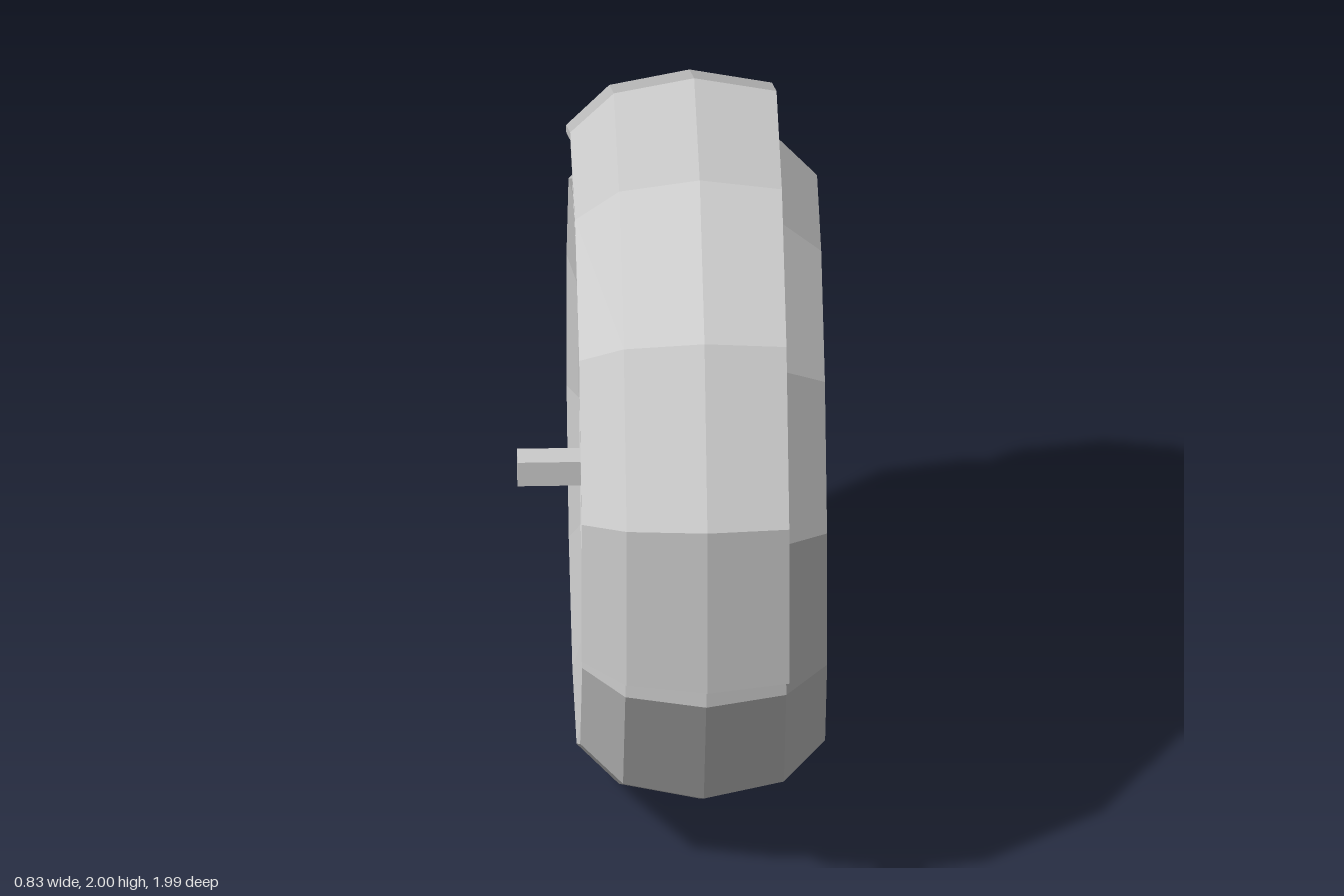
import * as THREE from 'three';

const CENTRE_Y = 0.935, CENTRE_Z = -0.06, MID_X = 0.075;
const grey = new THREE.MeshStandardMaterial({ color: 0xcccccc, flatShading: true });

function part(name, geometry, parent) {
  const mesh = new THREE.Mesh(geometry, grey);
  mesh.name = name;
  parent.add(mesh);
  return mesh;
}

// Twelve-sided tyre with a bevelled lip and an inner wall that narrows to the middle
function tyreGeometry() {
  const side = [[0.96, 0], [0.915, 0.22], [0.80, 0.335], [0.67, 0.305]];
  const pts = [
    ...side.map(([r, x]) => [r, x]),
    [0.61, 0.02], [0.61, -0.02],
    ...side.slice(1).reverse().map(([r, x]) => [r, -x]),
    [0.96, 0],
  ].map(([r, x]) => new THREE.Vector2(r, x));
  const geo = new THREE.LatheGeometry(pts, 12, THREE.MathUtils.degToRad(15));
  return geo.rotateZ(-Math.PI / 2);
}

// Thin mudguard: a bent cross-section carried along an arc over the tyre
function mudguardGeometry() {
  const path = [[1.0, 0.825], [0.99, 1.33], [0.70, 1.76], [0.23, 2.0], [-0.32, 1.995], [-0.79, 1.74]];
  const section = [[-0.265, 0.15], [-0.145, 0.04], [0.075, 0], [0.30, 0.04]]; // x, inset
  const thick = 0.022;
  const ring = [
    ...section.map(([x, d]) => [x, d + thick]),
    ...[...section].reverse(),
  ];
  const n = ring.length, pos = [], index = [];
  for (const [z, y] of path) {
    const dir = new THREE.Vector2(CENTRE_Z - z, 0.95 - y).normalize();
    for (const [x, d] of ring) pos.push(x, y + dir.y * d, z + dir.x * d);
  }
  const quad = (a, b, c, d) => index.push(a, b, c, a, c, d);
  for (let i = 0; i < path.length - 1; i++) {
    for (let j = 0; j < n; j++) {
      const k = (j + 1) % n, s = i * n, e = s + n;
      quad(s + j, e + j, e + k, s + k);
    }
  }
  const last = (path.length - 1) * n;
  for (let k = 0; k < section.length - 1; k++) {
    quad(k, k + 1, n - 2 - k, n - 1 - k);
    quad(last + n - 1 - k, last + n - 2 - k, last + k + 1, last + k);
  }
  const geo = new THREE.BufferGeometry();
  geo.setAttribute('position', new THREE.Float32BufferAttribute(pos, 3));
  geo.setIndex(index);
  const flat = geo.toNonIndexed();
  flat.computeVertexNormals();
  return flat;
}

export function createModel() {
  const model = new THREE.Group();
  model.name = 'wheelWithMudguard';

  // Wheel, turned a touch about its axle
  const wheel = new THREE.Group();
  wheel.name = 'wheel';
  wheel.position.set(MID_X, CENTRE_Y, CENTRE_Z);
  wheel.rotation.x = -0.018;
  model.add(wheel);

  part('tyre', tyreGeometry(), wheel);

  const disc = new THREE.CylinderGeometry(0.62, 0.62, 0.06, 12, 1, false, Math.PI / 12);
  part('hubDisc', disc.rotateZ(-Math.PI / 2), wheel).position.x = -0.005;

  // Four blocks set through the disc
  for (let i = 0; i < 4; i++) {
    const block = new THREE.BoxGeometry(0.2, 0.31, 0.46);
    block.translate(0.025, 0.415, 0).rotateX(i * Math.PI / 2);
    part('hubBlock', block, wheel);
  }

  // Square axle, long on the inner side
  const axle = part('axle', new THREE.BoxGeometry(0.572, 0.075, 0.075), model);
  axle.position.set(-0.13, 0.913, -0.067);

  part('mudguard', mudguardGeometry(), model);
  return model;
}
